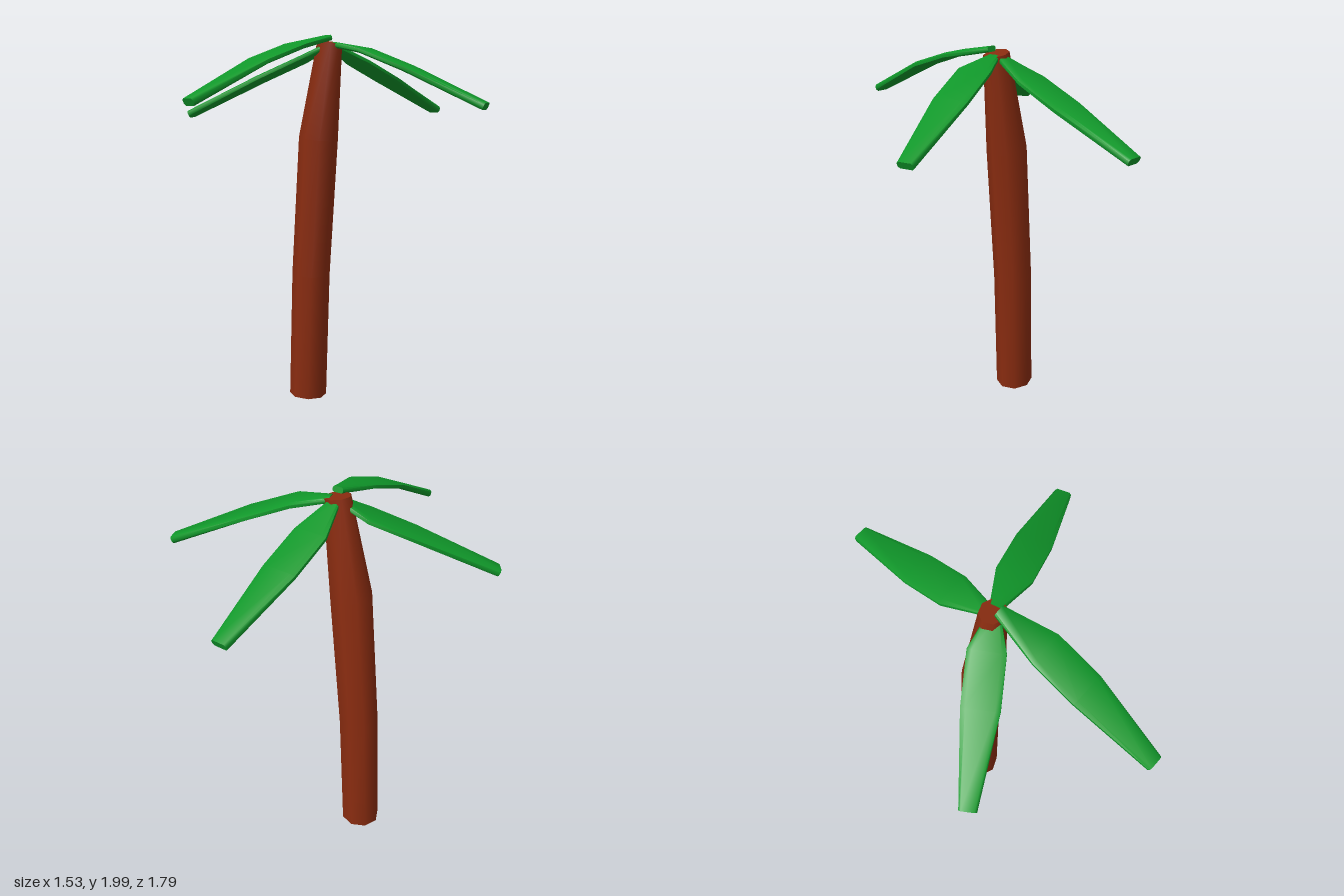
import * as THREE from 'three';
import { toCreasedNormals } from 'three/addons/utils/BufferGeometryUtils.js';

const V = (x, y, z) => new THREE.Vector3(x, y, z);

// Skins closed cross-sections along a path; each ring is [x, y, z, halfWidth, halfThickness].
function loft(rings, section, reference, crease) {
  const n = section.length, last = rings.length - 1;
  const centres = rings.map(r => V(r[0], r[1], r[2]));
  const positions = [], index = [];
  rings.forEach(([, , , w, t], i) => {
    const along = centres[Math.min(i + 1, last)].clone().sub(centres[Math.max(i - 1, 0)]).normalize();
    const side = reference.clone().cross(along).normalize();
    const up = along.clone().cross(side);
    for (const [a, b] of section) {
      const p = centres[i].clone().addScaledVector(side, a * w).addScaledVector(up, b * t);
      positions.push(p.x, p.y, p.z);
    }
  });
  for (let i = 0; i < last; i++) {
    for (let j = 0; j < n; j++) {
      const a = i * n + j, b = i * n + (j + 1) % n;
      index.push(a, b, b + n, a, b + n, a + n);
    }
  }
  // End caps
  for (let j = 1; j < n - 1; j++) {
    index.push(0, j + 1, j, last * n, last * n + j, last * n + j + 1);
  }
  const geometry = new THREE.BufferGeometry();
  geometry.setAttribute('position', new THREE.Float32BufferAttribute(positions, 3));
  geometry.setIndex(index);
  return toCreasedNormals(geometry, crease);
}

export function createModel() {
  const tree = new THREE.Group();
  tree.name = 'palmTree';
  const bark = new THREE.MeshStandardMaterial({ color: 0x8a2c10 });
  const green = new THREE.MeshStandardMaterial({ color: 0x10982a });

  // Leaning eight-sided trunk, tapering at the crown
  const octagon = Array.from({ length: 8 }, (_, i) => {
    const a = (i / 8) * Math.PI * 2;
    return [Math.cos(a), Math.sin(a)];
  });
  const trunk = new THREE.Mesh(loft([
    [-0.245, 0.012, -0.02, 0.105, 0.1],
    [-0.217, 0.71, -0.02, 0.107, 0.1],
    [-0.155, 1.46, -0.02, 0.11, 0.1],
    [-0.07, 1.965, -0.022, 0.071, 0.06],
  ], octagon, V(0, 0, 1), 1), bark);
  trunk.name = 'trunk';
  tree.add(trunk);

  // Four drooping fronds: thin slabs with softened edges
  const slab = [[1, -0.5], [1, 0.5], [0.75, 1], [-0.75, 1], [-1, 0.5], [-1, -0.5], [-0.75, -1], [0.75, -1]];
  const sizes = [[0.028, 0.014], [0.087, 0.015], [0.088, 0.016], [0.041, 0.019]];
  const fronds = {
    frontFrond: [[-0.06, 1.985, 0], [-0.053, 1.93, 0.25], [-0.06, 1.85, 0.48], [-0.073, 1.653, 0.885]],
    backFrond: [[-0.075, 1.945, -0.05], [-0.073, 1.865, -0.25], [-0.062, 1.775, -0.48], [-0.04, 1.61, -0.885]],
    leftFrond: [[-0.045, 1.95, -0.03], [0.135, 1.915, -0.075], [0.365, 1.82, -0.145], [0.748, 1.633, -0.265]],
    rightFrond: [[-0.07, 1.945, -0.015], [-0.2, 1.875, 0.05], [-0.395, 1.775, 0.175], [-0.74, 1.588, 0.387]],
  };
  for (const [name, path] of Object.entries(fronds)) {
    const rings = path.map((p, i) => [...p, ...sizes[i]]);
    const frond = new THREE.Mesh(loft(rings, slab, V(0, 1, 0), 1), green);
    frond.name = name;
    tree.add(frond);
  }
  return tree;
}
